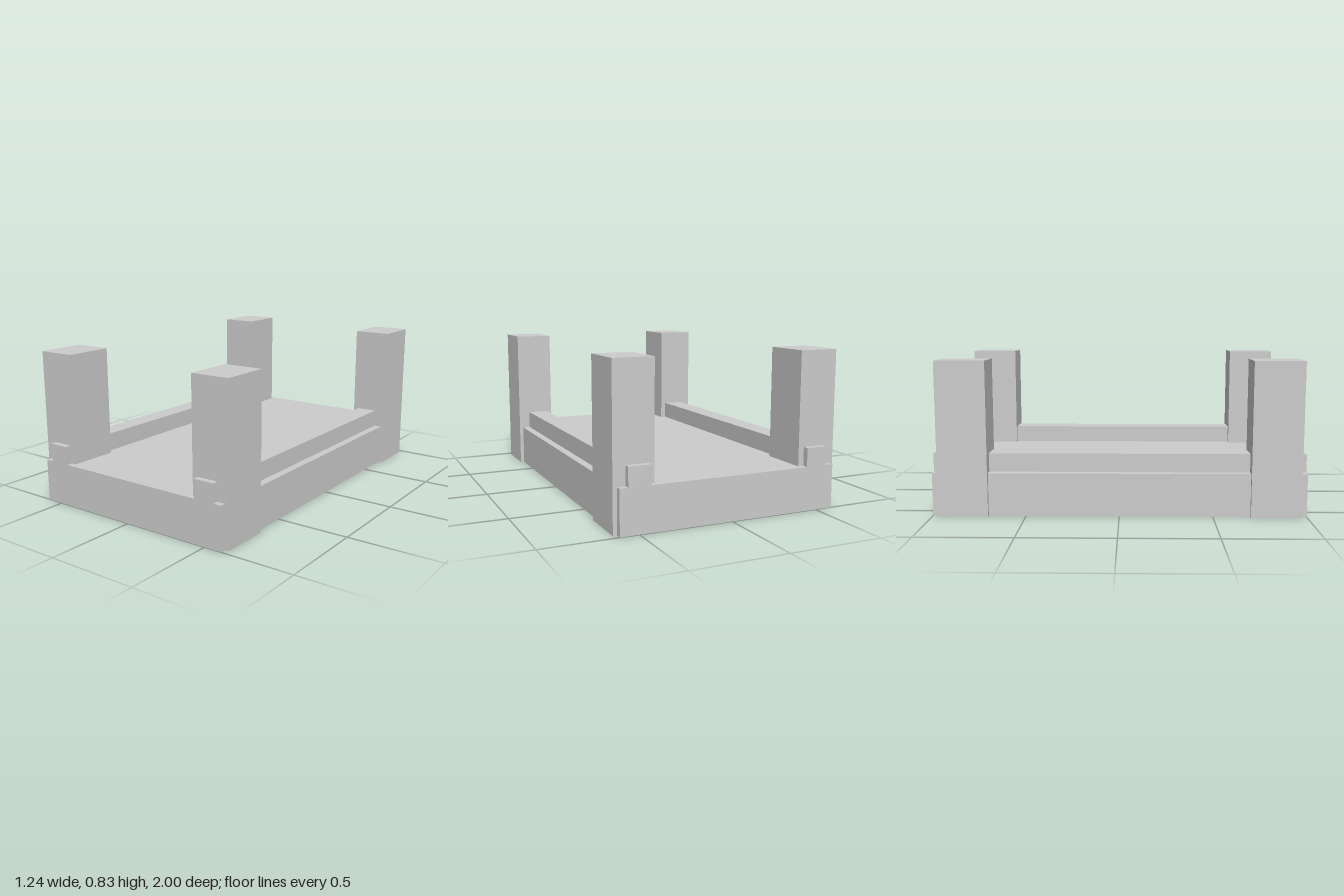
import * as THREE from 'three';

const material = new THREE.MeshStandardMaterial({ color: 0xcccccc });

// Box placed by its centre in x and z and by its bottom in y
function block(name, [w, h, d], [x, bottom, z]) {
  const mesh = new THREE.Mesh(new THREE.BoxGeometry(w, h, d), material);
  mesh.name = name;
  mesh.position.set(x, bottom + h / 2, z);
  return mesh;
}

export function createModel() {
  const model = new THREE.Group();
  model.name = 'postedPlatform';

  // Slab
  model.add(block('base', [1.2, 0.233, 2], [0, 0, 0]));

  for (const sx of [1, -1]) {
    const side = sx > 0 ? 'left' : 'right';

    // Rail running the full length of the slab
    model.add(block(`${side}Rail`, [0.117, 0.1, 2], [sx * 0.498, 0.233, 0]));

    // Corner posts, standing slightly proud of the slab's sides
    for (const sz of [1, -1]) {
      const end = sz > 0 ? 'Front' : 'Back';
      model.add(block(`${side}${end}Post`, [0.214, 0.833, 0.267], [sx * 0.515, 0, sz * 0.834]));
    }
  }
  return model;
}
